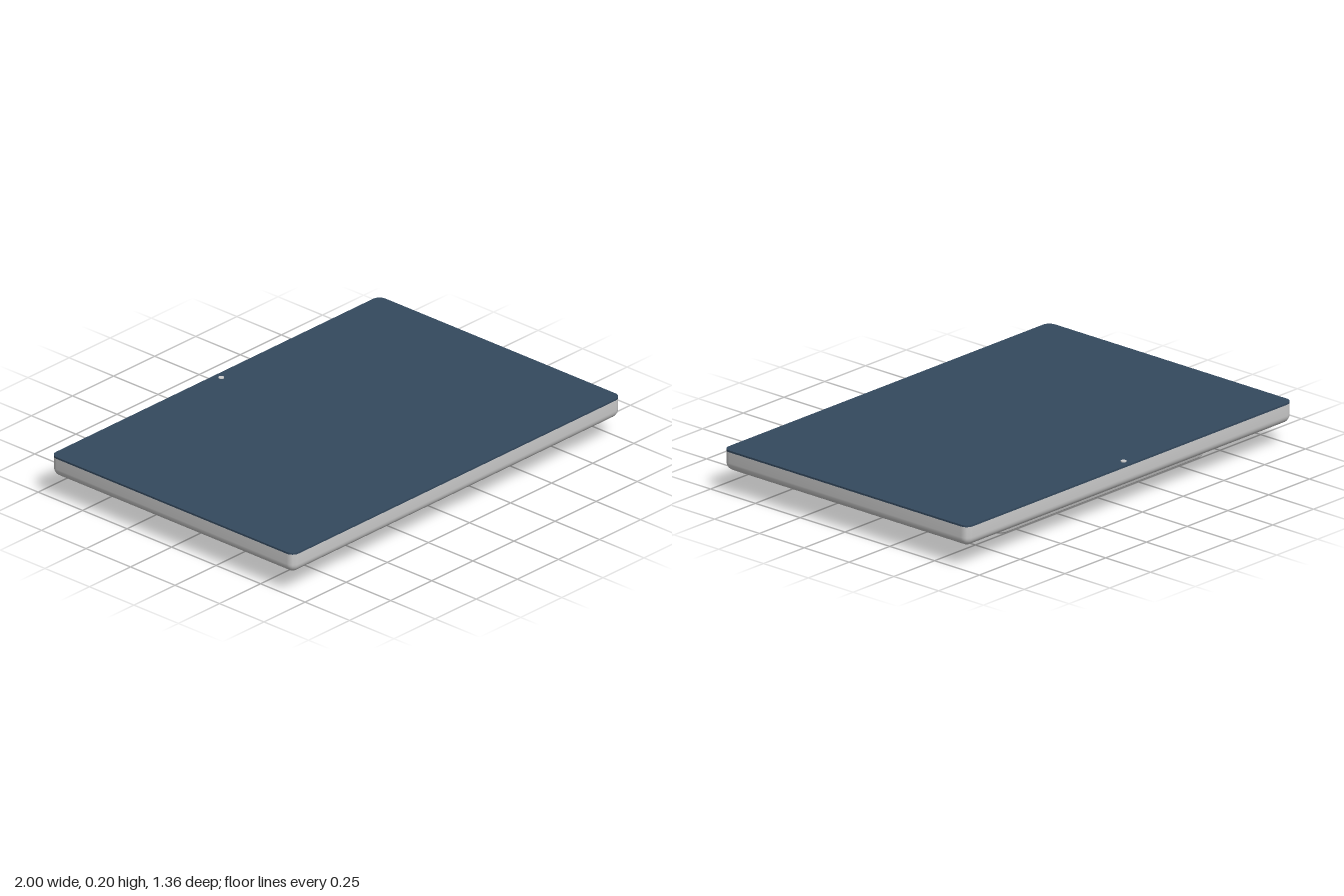
import * as THREE from 'three';
import { mergeGeometries, toCreasedNormals } from 'three/addons/utils/BufferGeometryUtils.js';

const grey = () => new THREE.MeshStandardMaterial({ color: 0xcccccc, side: THREE.DoubleSide });

// Rounded rectangle in x/z, shrunk by inset; the front may carry a notch [x0, x1, z]
function outline({ x0, x1, z0, z1, r, notch }, inset) {
  const points = [];
  const rad = Math.max(r - inset, 0.006);
  const left = x0 + inset + rad, right = x1 - inset - rad;
  const back = z0 + inset + rad, front = z1 - inset - rad;
  [[right, front], [left, front], [left, back], [right, back]].forEach(([cx, cz], corner) => {
    for (let i = 0; i <= 6; i++) {
      const a = (corner + i / 6) * Math.PI / 2;
      points.push(new THREE.Vector2(cx + rad * Math.cos(a), cz + rad * Math.sin(a)));
    }
    if (corner === 0 && notch) {
      const [n0, n1, nz] = notch;
      for (const [x, z] of [[n1, z1 - inset], [n1, nz], [n0, nz], [n0, z1 - inset]]) {
        points.push(new THREE.Vector2(x, z));
      }
    }
  });
  return points;
}

// Stacks outlines along a profile of [inset, y] from bottom to top and caps both ends
function loft(plan, profile, bottomHole) {
  const rings = profile.map(([inset]) => outline(plan, inset));
  const n = rings[0].length;
  const positions = [], index = [];
  rings.forEach((ring, k) => ring.forEach((p) => positions.push(p.x, profile[k][1], p.y)));
  for (let k = 0; k < rings.length - 1; k++) {
    for (let j = 0; j < n; j++) {
      const a = k * n + j, b = k * n + (j + 1) % n;
      index.push(a, a + n, b, b, a + n, b + n);
    }
  }
  const side = new THREE.BufferGeometry();
  side.setAttribute('position', new THREE.Float32BufferAttribute(positions, 3));
  side.setIndex(index);
  side.computeVertexNormals();

  const lower = new THREE.Shape(rings[0]);
  if (bottomHole) lower.holes.push(bottomHole);
  const bottom = new THREE.ShapeGeometry(lower, 20);
  bottom.rotateX(Math.PI / 2).translate(0, profile[0][1], 0);
  const upper = new THREE.Shape(rings[rings.length - 1].map((p) => new THREE.Vector2(p.x, -p.y)));
  const top = new THREE.ShapeGeometry(upper);
  top.rotateX(-Math.PI / 2).translate(0, profile[profile.length - 1][1], 0);

  const parts = [side, bottom, top].map((g) => {
    g.deleteAttribute('uv');
    return g.toNonIndexed();
  });
  return toCreasedNormals(mergeGeometries(parts), 0.6);
}

// Convex quarter round from the underside to the side wall
function roundedEdge(radius, y) {
  return Array.from({ length: 8 }, (_, i) => {
    const a = i / 7 * Math.PI / 2;
    return [radius * (1 - Math.sin(a)), y + radius * (1 - Math.cos(a))];
  });
}

// Concave quarter round flaring outwards up to y
function flare(radius, y) {
  return Array.from({ length: 8 }, (_, i) => {
    const a = i / 7 * Math.PI / 2;
    return [-radius * (1 - Math.cos(a)), y - radius * (1 - Math.sin(a))];
  });
}

export function createModel() {
  const model = new THREE.Group();
  const add = (name, geometry, material = grey()) => {
    const mesh = new THREE.Mesh(geometry, material);
    mesh.name = name;
    model.add(mesh);
    return mesh;
  };

  // Display housing with a rounded lower edge
  const panel = { x0: -1, x1: 1, z0: -0.682, z1: 0.682, r: 0.035 };
  add('housing', loft(panel, [...roundedEdge(0.04, 0.1), [0, 0.188]]));

  // Dark glass over the whole front of the display
  add('screen', loft(panel, [[0, 0.188], [0, 0.196]]),
    new THREE.MeshStandardMaterial({ color: 0x34495e }));

  // Camera lens near the back edge
  add('cameraLens', new THREE.CylinderGeometry(0.012, 0.012, 0.006, 24).translate(0, 0.197, -0.645));

  // Rear box, flared into the housing, with a cable notch and a round hole
  const holeX = -0.035, holeZ = 0.01, holeR = 0.028;
  const hole = new THREE.Path().absarc(holeX, holeZ, holeR, 0, Math.PI * 2, true);
  const box = { x0: -0.66, x1: 0.605, z0: -0.51, z1: 0.44, r: 0.04, notch: [-0.265, 0.17, 0.375] };
  add('rearBox', loft(box, [...roundedEdge(0.02, 0), ...flare(0.035, 0.101)], hole));

  // Lining and end of the hole
  const depth = 0.04;
  add('holeWall', new THREE.CylinderGeometry(holeR, holeR, depth, 32, 1, true)
    .translate(holeX, depth / 2, holeZ));
  add('holeEnd', new THREE.CircleGeometry(holeR, 32).rotateX(Math.PI / 2)
    .translate(holeX, depth, holeZ));

  // Thin cover in the notch with a rectangular socket opening
  const cover = new THREE.Shape([[-0.19, 0.002], [0.155, 0.002], [0.155, 0.1], [-0.19, 0.1]]
    .map(([x, y]) => new THREE.Vector2(x, y)));
  cover.holes.push(new THREE.Path([[-0.05, 0.04], [-0.05, 0.095], [0.11, 0.095], [0.11, 0.04]]
    .map(([x, y]) => new THREE.Vector2(x, y))));
  add('notchCover', new THREE.ExtrudeGeometry(cover, { depth: 0.008, bevelEnabled: false })
    .translate(0, 0, 0.43));

  return model;
}
